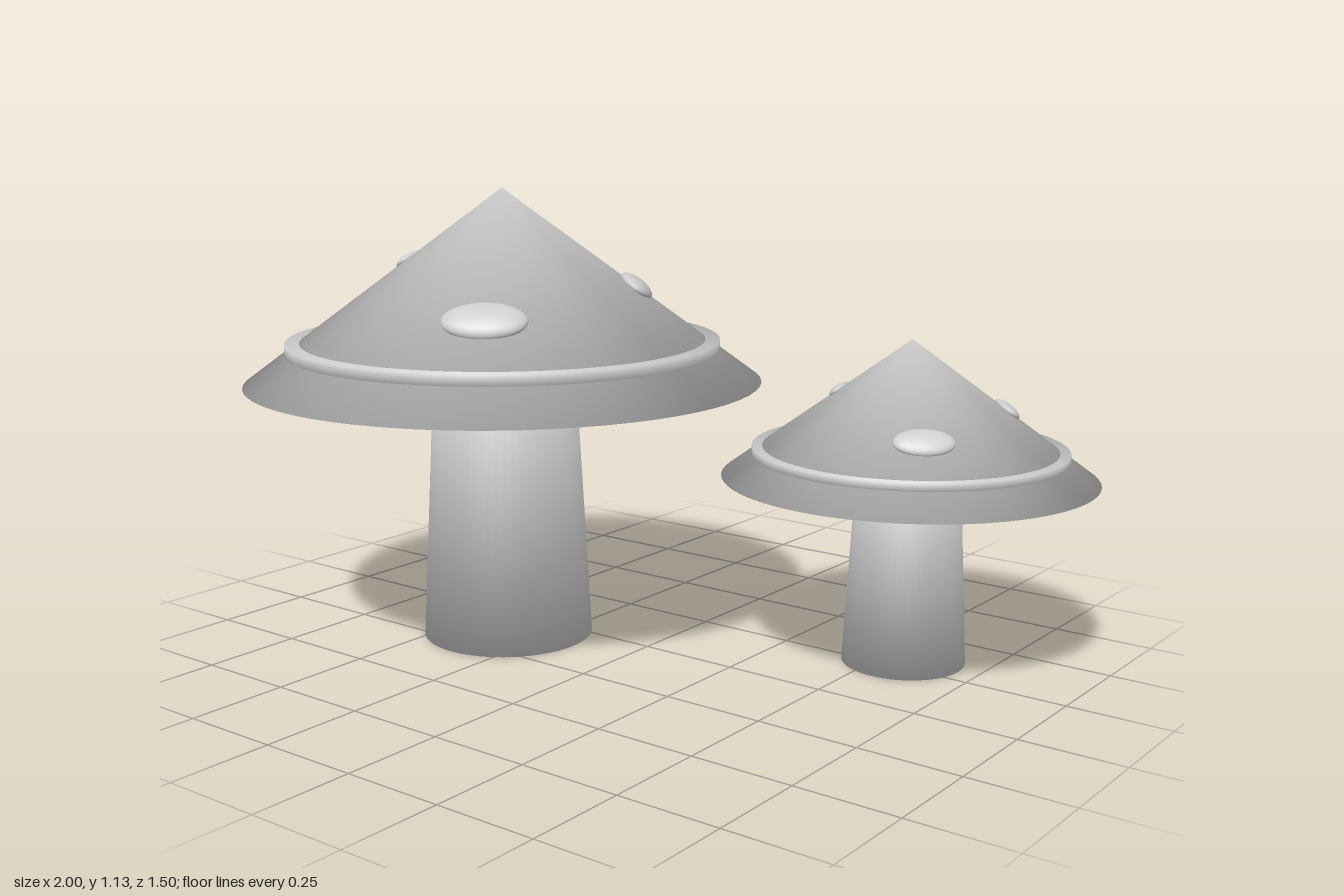
import * as THREE from 'three';

const grey = new THREE.MeshStandardMaterial({ color: 0xcccccc });
grey.name = 'plain grey';

const CAP = { radius: 0.638, base: 0.654, apex: 1.127 };
const SLOPE = (CAP.apex - CAP.base) / CAP.radius;

// Closed frustum with normals smoothed over its rims
function softFrustum(rTop, rBottom, yBottom, yTop) {
  const h = yTop - yBottom;
  const geo = new THREE.CylinderGeometry(rTop, rBottom, h, 64);
  const pos = geo.attributes.position;
  const side = new THREE.Vector2(h, rBottom - rTop).normalize();
  const n = new THREE.Vector3();
  for (let i = 0; i < pos.count; i++) {
    const x = pos.getX(i), z = pos.getZ(i), r = Math.hypot(x, z);
    const up = Math.sign(pos.getY(i));
    if (r < 1e-6) n.set(0, up, 0);
    else n.set((x / r) * side.x, side.y + up, (z / r) * side.x).normalize();
    geo.attributes.normal.setXYZ(i, n.x, n.y, n.z);
  }
  return geo.translate(0, yBottom + h / 2, 0);
}

function addPart(group, name, geometry) {
  const mesh = new THREE.Mesh(geometry, grey);
  mesh.name = name;
  group.add(mesh);
  return mesh;
}

function makeMushroom(name) {
  const group = new THREE.Group();
  group.name = name;
  addPart(group, 'stem', softFrustum(0.177, 0.213, 0, CAP.base + 0.01));
  addPart(group, 'cap', softFrustum(0, CAP.radius, CAP.base, CAP.apex));
  addPart(group, 'capRing', softFrustum(0.535, 0.535, 0.722, 0.757));

  // Flattened oval spots lying on the slope of the cap: x, z, half length
  const spots = [[0.217, 0.303, 0.1], [0.25, -0.212, 0.083], [-0.238, 0.075, 0.062]];
  for (const [x, z, size] of spots) {
    const spot = addPart(group, 'capSpot', new THREE.SphereGeometry(1, 32, 20));
    spot.scale.set(size, size * 0.25, size * 0.56);
    spot.position.set(x, CAP.apex - SLOPE * Math.hypot(x, z), z);
    spot.rotation.set(Math.atan(SLOPE), Math.atan2(x, z), 0, 'YXZ');
  }
  return group;
}

export function createModel() {
  const model = new THREE.Group();
  model.name = 'mushroomPair';

  const large = makeMushroom('largeMushroom');
  large.position.set(-0.362, 0, 0.112);

  const small = makeMushroom('smallMushroom');
  small.scale.setScalar(0.7);
  small.position.set(0.552, 0, -0.303);

  model.add(large, small);
  return model;
}
